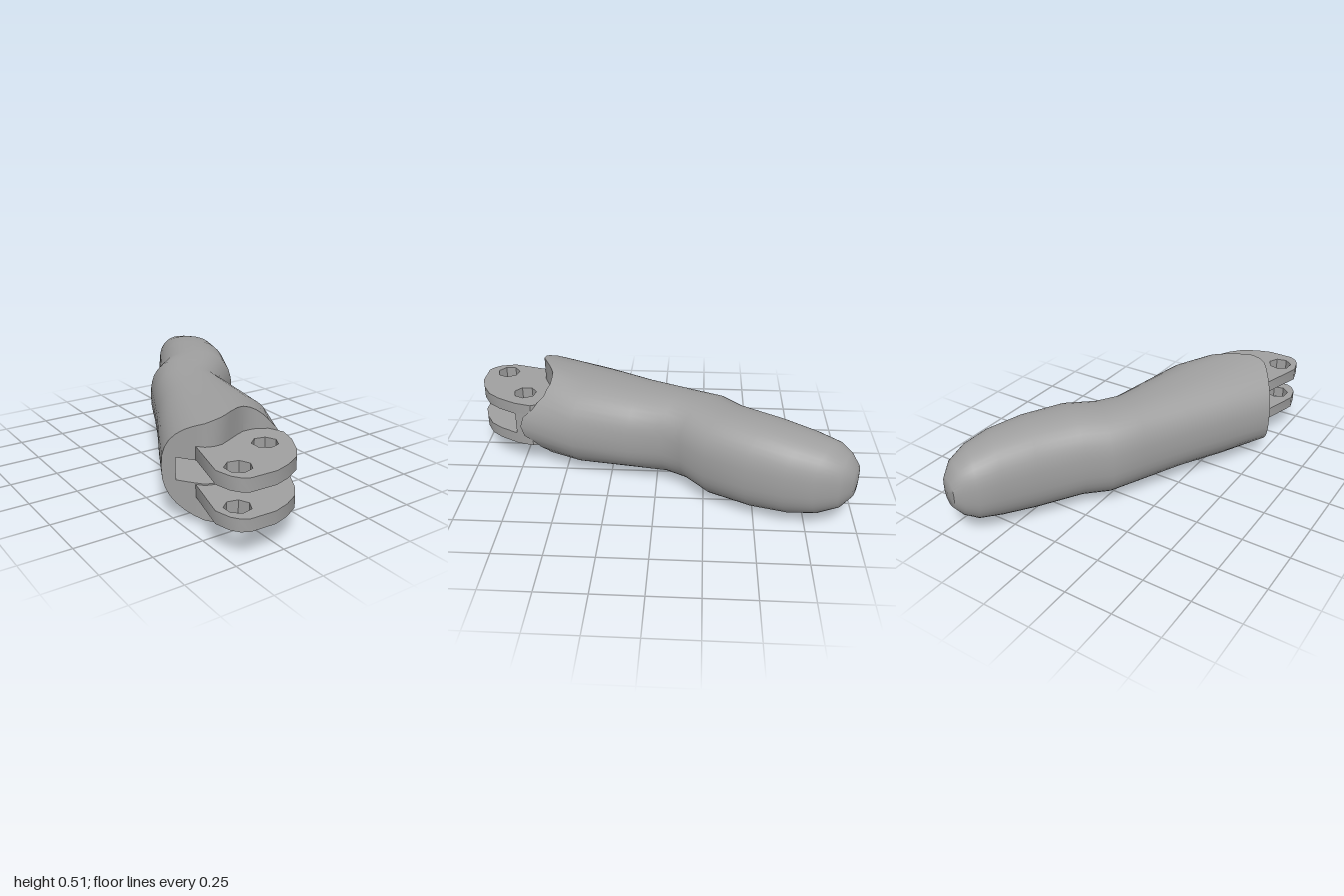
import * as THREE from 'three';
import { toCreasedNormals } from 'three/addons/utils/BufferGeometryUtils.js';

const N = 40; // points round each cross-section
const HALF = N / 2;

// Front cut of the grip, as x, z seen from above
const CUT = [[-0.54, 0.47], [-0.43, 0.62], [-0.4, 0.65], [-0.32, 0.65], [-0.25, 0.61],
  [-0.17, 0.575], [-0.1, 0.575], [-0.04, 0.61], [-0.01, 0.67], [0, 0.74]];

// Grip sections: left x, z, right x, z, middle height, half height
const SECTIONS = [
  [-0.54, 0.47, 0, 0.74, 0.258, 0.257],
  [-0.42, 0.24, 0.1, 0.45, 0.26, 0.236],
  [-0.3, 0.02, 0.15, 0.15, 0.261, 0.222],
  [-0.18, -0.22, 0.162, -0.02, 0.261, 0.22],
  [-0.1, -0.39, 0.22, -0.12, 0.262, 0.224],
  [0, -0.48, 0.35, -0.24, 0.262, 0.228],
  [0.13, -0.69, 0.45, -0.44, 0.262, 0.226],
  [0.22, -0.84, 0.515, -0.62, 0.262, 0.207],
  [0.28, -0.94, 0.537, -0.76, 0.262, 0.178],
  [0.33, -0.975, 0.525, -0.88, 0.262, 0.135],
  [0.375, -1, 0.49, -0.95, 0.262, 0.075],
];

function cutZ(x) {
  for (let i = 1; i < CUT.length; i++) {
    const [x0, z0] = CUT[i - 1], [x1, z1] = CUT[i];
    if (x <= x1) return z0 + (z1 - z0) * (x - x0) / (x1 - x0);
  }
  return CUT[CUT.length - 1][1];
}

const power = (v, p) => Math.sign(v) * Math.abs(v) ** p;

function ring([lx, lz, rx, rz, cy, h], first) {
  return Array.from({ length: N }, (_, j) => {
    const a = (j / N) * Math.PI * 2;
    const t = (1 - power(Math.cos(a), 0.8)) / 2;
    const x = lx + (rx - lx) * t;
    const z = first ? cutZ(x) : lz + (rz - lz) * t;
    return [x, cy + h * power(Math.sin(a), 0.8), z];
  });
}

function gripGeometry() {
  const pos = [];
  const tri = (a, b, c) => pos.push(...a, ...b, ...c);
  const quad = (a, b, c, d) => { tri(a, b, c); tri(a, c, d); };
  const rings = SECTIONS.map((s, i) => ring(s, i === 0));

  // outer skin and rounded rear end
  for (let i = 0; i < rings.length - 1; i++) {
    for (let j = 0; j < N; j++) {
      const k = (j + 1) % N;
      quad(rings[i][j], rings[i][k], rings[i + 1][k], rings[i + 1][j]);
    }
  }
  const last = rings[rings.length - 1];
  const tip = [0.432, 0.262, -0.985];
  for (let j = 0; j < N; j++) tri(last[j], last[(j + 1) % N], tip);

  // front wall in columns, with a slot running back into the grip
  const low = 0.205, high = 0.315;
  const top = (k) => rings[0][k];
  const bottom = (k) => rings[0][(N - k) % N];
  const front = (k, y) => [top(k)[0], y, top(k)[2]];
  const back = (k, y) => [top(k)[0] + 0.135, y, 0.28];
  const inSlot = (k) => k >= 0 && k < HALF && top(k)[0] > -0.515 && top(k + 1)[0] < -0.13;
  for (let k = 0; k < HALF; k++) {
    const n = k + 1;
    if (!inSlot(k)) {
      quad(bottom(k), bottom(n), top(n), top(k));
      continue;
    }
    quad(bottom(k), bottom(n), front(n, low), front(k, low));
    quad(front(k, high), front(n, high), top(n), top(k));
    quad(front(k, low), front(n, low), back(n, low), back(k, low));
    quad(back(k, high), back(n, high), front(n, high), front(k, high));
    quad(back(k, low), back(n, low), back(n, high), back(k, high));
    if (!inSlot(k - 1)) quad(front(k, low), back(k, low), back(k, high), front(k, high));
    if (!inSlot(n)) quad(front(n, high), back(n, high), back(n, low), front(n, low));
  }
  const geo = new THREE.BufferGeometry();
  geo.setAttribute('position', new THREE.Float32BufferAttribute(pos, 3));
  return toCreasedNormals(geo, 0.7);
}

// Flat plate from an x, z outline between two heights
function plate(outline, holes, y0, y1) {
  const shape = new THREE.Shape(outline.map(([x, z]) => new THREE.Vector2(x, z)));
  for (const [cx, cz, r] of holes) {
    shape.holes.push(new THREE.Path(Array.from({ length: 7 }, (_, i) => {
      const a = (i / 7) * Math.PI * 2;
      return new THREE.Vector2(cx + r * Math.cos(a), cz + r * Math.sin(a));
    })));
  }
  const geo = new THREE.ExtrudeGeometry(shape, { depth: y1 - y0, bevelEnabled: false });
  geo.rotateX(Math.PI / 2).translate(0, y1, 0);
  return toCreasedNormals(geo, 0.6);
}

export function createModel() {
  const group = new THREE.Group();
  const grey = new THREE.MeshStandardMaterial({ color: 0xa0a0a0 });
  grey.name = 'grey';
  const add = (name, geo) => {
    const mesh = new THREE.Mesh(geo, grey);
    mesh.name = name;
    group.add(mesh);
  };

  add('grip', gripGeometry());

  // pair of pivot lugs
  const lug = [[-0.44, 0.6], [-0.51, 0.86], [-0.49, 0.94], [-0.465, 0.975], [-0.43, 0.997],
    [-0.3, 1], [-0.22, 0.975], [-0.14, 0.93], [-0.09, 0.87], [-0.035, 0.77], [-0.01, 0.68],
    [-0.05, 0.59], [-0.1, 0.52], [-0.35, 0.52]];
  const holes = [[-0.41, 0.88, 0.062], [-0.16, 0.735, 0.062]];
  add('lowerLug', plate(lug, holes, 0.137, 0.198));
  add('upperLug', plate(lug, holes, 0.318, 0.382));

  // web joining the lugs beside the rear hole
  const web = [[-0.12, 0.56], [-0.09, 0.66], [-0.075, 0.77], [-0.035, 0.77], [-0.01, 0.68], [-0.04, 0.58]];
  add('lugWeb', plate(web, [], 0.19, 0.325));
  return group;
}
